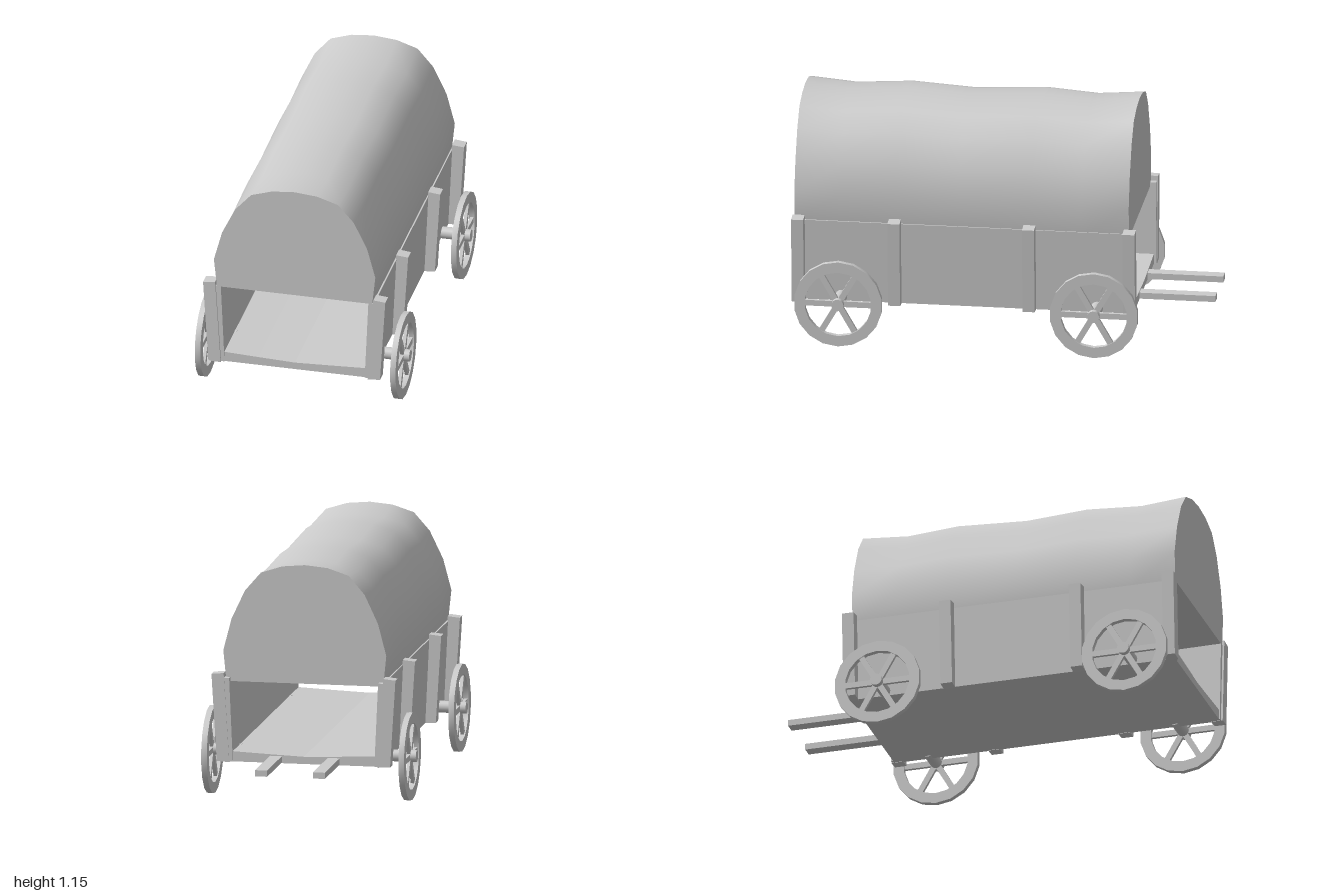
import * as THREE from 'three';
import { toCreasedNormals } from 'three/addons/utils/BufferGeometryUtils.js';

const material = new THREE.MeshStandardMaterial({ color: 0xcccccc });

function add(parent, name, geometry) {
  const mesh = new THREE.Mesh(geometry, material);
  mesh.name = name;
  parent.add(mesh);
  return mesh;
}

// Straight bar with an x/y outline, running from z0 to z1
function prism(points, z0, z1) {
  const shape = new THREE.Shape(points.map(([x, y]) => new THREE.Vector2(x, y)));
  const g = new THREE.ExtrudeGeometry(shape, { depth: z1 - z0, bevelEnabled: false });
  return g.translate(0, 0, z0);
}

// Closed canvas: an arched ring swept along z, dipping between the hoops
function coverGeometry() {
  const half = [[0.38, 0], [0.395, 0.145], [0.355, 0.295], [0.29, 0.43], [0.213, 0.517], [0.11, 0.55]];
  const ring = [...half, [0, 0.56], ...half.map(([x, y]) => [-x, y]).reverse()];
  const stations = [[-0.615, 1.15], [-0.39, 1.13], [-0.14, 1.15], [0.2, 1.13], [0.5, 1.15], [0.77, 1.13], [0.99, 1.15]];
  const n = ring.length, positions = [], index = [];
  for (const [z, top] of stations) {
    const base = 0.575 + 0.018 * (z + 0.615) / 1.605;
    for (const [x, y] of ring) positions.push(x, base + y / 0.56 * (top - base), z);
  }
  const last = (stations.length - 1) * n;
  for (let s = 0; s < last; s += n) {
    for (let i = 0; i < n; i++) {
      const j = (i + 1) % n;
      index.push(s + i, s + j, s + n + i, s + j, s + n + j, s + n + i);
    }
  }
  for (let i = 1; i < n - 1; i++) {
    index.push(0, i + 1, i, last, last + i, last + i + 1);
  }
  // The ring runs counter-clockwise seen from +z, so the side faces look outward once flipped
  for (let k = 0; k < (stations.length - 1) * n * 6; k += 3) {
    const [a, b, c] = index.slice(k, k + 3).map((v) => new THREE.Vector3().fromArray(positions, v * 3));
    const normal = b.clone().sub(a).cross(c.clone().sub(a));
    const outward = a.clone().add(b).add(c).divideScalar(3).sub(new THREE.Vector3(0, 0.85, 0)).setZ(0);
    if (normal.dot(outward) < 0) [index[k + 1], index[k + 2]] = [index[k + 2], index[k + 1]];
  }
  const g = new THREE.BufferGeometry();
  g.setAttribute('position', new THREE.Float32BufferAttribute(positions, 3));
  g.setIndex(index);
  return toCreasedNormals(g, 0.6);
}

function createWheel() {
  const wheel = new THREE.Group();
  wheel.name = 'wheel';
  // Rim with a round opening
  const rim = new THREE.Shape(), hole = new THREE.Path();
  for (let i = 0; i < 18; i++) {
    const a = (i + 0.5) / 18 * Math.PI * 2, c = Math.cos(a), s = Math.sin(a);
    rim[i ? 'lineTo' : 'moveTo'](0.212 * c, 0.212 * s);
    hole[i ? 'lineTo' : 'moveTo'](0.16 * c, 0.16 * s);
  }
  rim.holes.push(hole);
  const rimGeometry = new THREE.ExtrudeGeometry(rim, { depth: 0.027, bevelEnabled: false });
  add(wheel, 'rim', toCreasedNormals(rimGeometry.translate(0, 0, -0.0135), 0.6));
  // Six spokes
  for (let i = 0; i < 6; i++) {
    const spoke = new THREE.BoxGeometry(0.155, 0.028, 0.016).translate(0.09, 0, 0);
    add(wheel, 'spoke', spoke.rotateZ(i * Math.PI / 3));
  }
  wheel.rotation.y = Math.PI / 2;
  return wheel;
}

export function createModel() {
  const wagon = new THREE.Group();
  wagon.name = 'coveredWagon';

  // Bed with a slightly sagging top
  add(wagon, 'floor', prism([[-0.36, 0.19], [0.36, 0.19], [0.36, 0.24], [0.18, 0.232],
    [0, 0.225], [-0.18, 0.232], [-0.36, 0.24]], -0.635, 0.985));
  add(wagon, 'cover', coverGeometry());

  for (const side of [1, -1]) {
    const mirrored = (points) => points.map(([x, y]) => [x * side, y]);

    // Leaning side wall
    add(wagon, 'sideWall', prism(mirrored([[0.343, 0.19], [0.369, 0.19], [0.388, 0.595], [0.361, 0.595]]), -0.645, 0.99));

    // Posts outside the wall
    for (const z of [0.97, 0.508, -0.138, -0.62]) {
      const post = mirrored([[0.36, 0.188], [0.42, 0.192], [0.446, 0.613], [0.387, 0.619]]);
      add(wagon, 'post', prism(post, z - 0.029, z + 0.029));
    }

    // Axle stubs and wheels
    for (const z of [0.768, -0.46]) {
      const axle = add(wagon, 'axle', new THREE.CylinderGeometry(0.029, 0.029, 0.178, 16).rotateZ(Math.PI / 2));
      axle.position.set(side * 0.424, 0.214, z);
      const wheel = createWheel();
      wheel.position.set(side * 0.478, 0.212, z);
      wagon.add(wheel);
    }
  }

  // Draught shafts at the rear end
  for (const x of [-0.144, 0.136]) {
    const shaft = add(wagon, 'shaft', new THREE.BoxGeometry(0.058, 0.03, 0.4));
    shaft.position.set(x, 0.209, -0.8);
  }
  return wagon;
}
